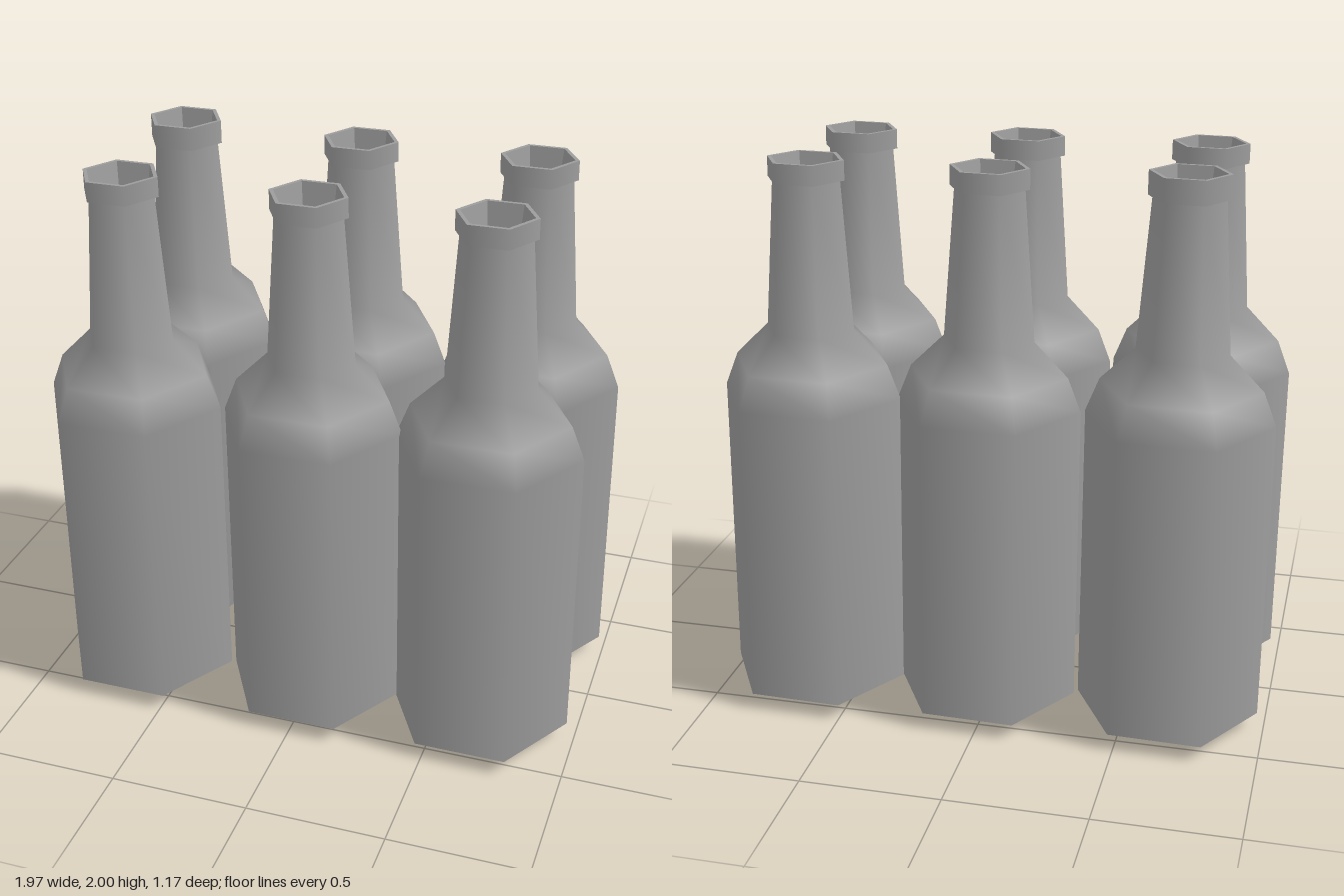
import * as THREE from 'three';

const SIDES = 6;
const COLOR = 0x9d9d9d;
const smooth = new THREE.MeshStandardMaterial({ color: COLOR });
const faceted = new THREE.MeshStandardMaterial({ color: COLOR, flatShading: true });

// Six-sided turned surface, a corner pointing along +x
function turned(name, profile, material = smooth) {
  const points = profile.map(([r, y]) => new THREE.Vector2(r, y));
  const geometry = new THREE.LatheGeometry(points, SIDES, Math.PI / 2);
  geometry.normalizeNormals();
  const mesh = new THREE.Mesh(geometry, material);
  mesh.name = name;
  return mesh;
}

// Body from the base edge to the rim, with a hard seam down the +x corner of the barrel
function makeBody() {
  const profile = [[0.327, 0.06], [0.327, 1.15], [0.28, 1.27], [0.16, 1.39], [0.122, 1.92]];
  const body = turned('body', profile);
  const normals = body.geometry.attributes.normal;
  for (const j of [0, 1]) normals.setXYZ(SIDES * profile.length + j, 0.866, 0, 0.5);
  return body;
}

// One hexagonal bottle; separate pieces keep the base and rim edges sharp
function makeBottle(rimTop) {
  const bottle = new THREE.Group();
  bottle.add(
    turned('base', [[0, 0.002], [0.2, 0.002], [0.327, 0.06]]),
    makeBody(),
    turned('rimUnderside', [[0.122, 1.915], [0.138, 1.915]]),
    turned('rim', [[0.138, 1.915], [0.138, rimTop]]),
    turned('lip', [[0.138, rimTop], [0.123, rimTop]]),
    turned('mouth', [[0.123, rimTop], [0.11, 1.9], [0, 1.65]], faceted),
  );
  return bottle;
}

export function createModel() {
  const model = new THREE.Group();
  model.name = 'bottles';

  // Two slightly skewed rows of three; every bottle leans a touch towards -x
  const rows = [
    { name: 'back', xs: [-0.648, 0.018, 0.659], z: -0.292, skew: 0.006 },
    { name: 'front', xs: [-0.645, 0.018, 0.645], z: 0.285, skew: 0.011 },
  ];
  const columns = ['Right', 'Middle', 'Left'];
  for (const row of rows) {
    row.xs.forEach((x, i) => {
      const tallest = row.name === 'back' && i === 0;
      const bottle = makeBottle(tallest ? 1.998 : 1.985);
      bottle.name = `${row.name}${columns[i]}Bottle`;
      bottle.position.set(x, 0, row.z - (i - 1) * row.skew);
      bottle.rotation.set(0, -0.014, 0.0095);
      model.add(bottle);
    });
  }
  return model;
}
